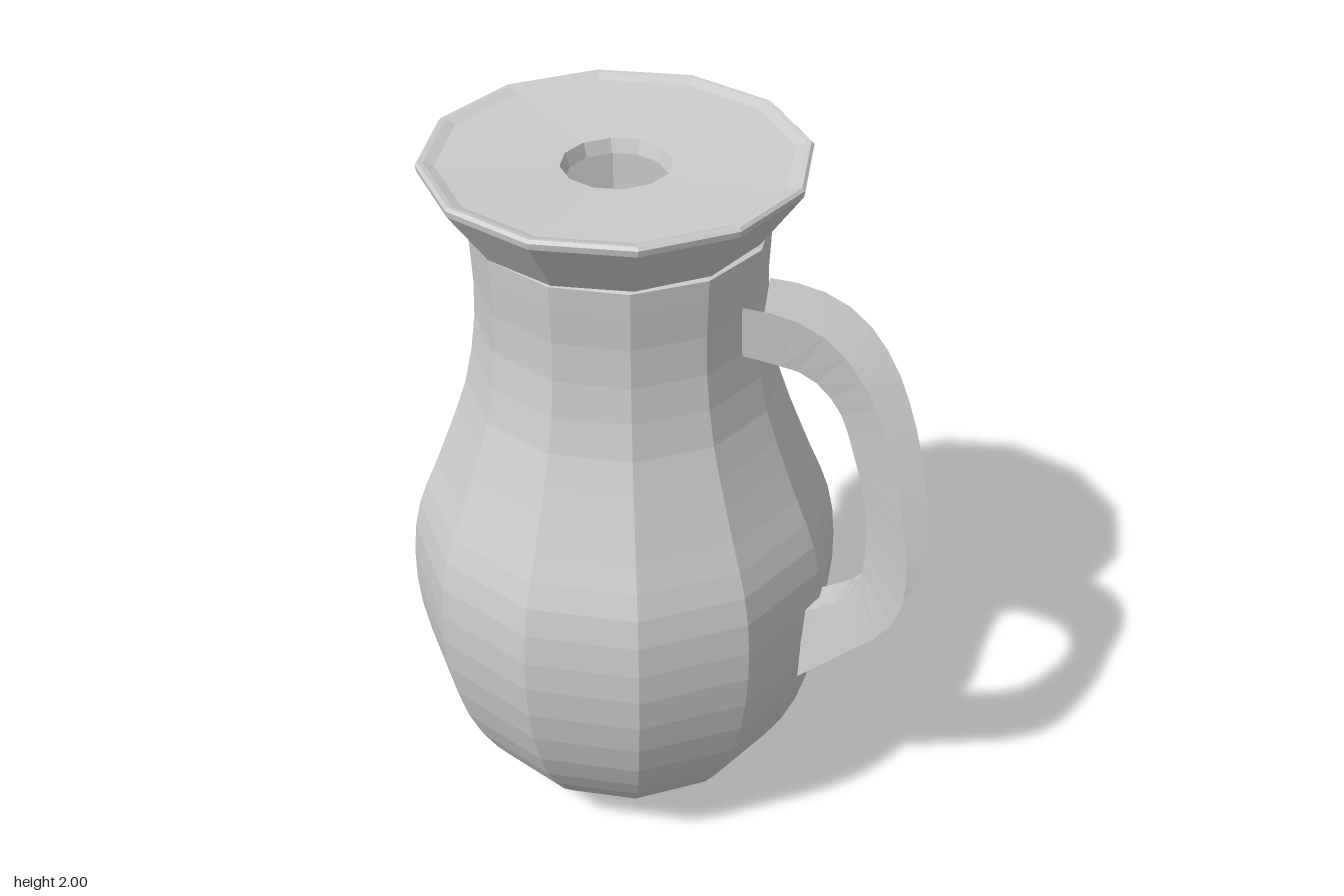
import * as THREE from 'three';

const grey = new THREE.MeshStandardMaterial({ color: 0xcccccc, flatShading: true, side: THREE.DoubleSide });
const white = new THREE.MeshStandardMaterial({ color: 0xffffff, side: THREE.DoubleSide });
const SIDES = 12;

// Twelve-sided turned part from [radius, height] pairs
function turned(name, profile, x, turn) {
  const points = profile.map(([r, y]) => new THREE.Vector2(r, y));
  const mesh = new THREE.Mesh(new THREE.LatheGeometry(points, SIDES), grey);
  mesh.name = name;
  mesh.position.x = x;
  mesh.rotation.y = turn;
  return mesh;
}

// Smooth run of points through [x, y] pairs
function run(pairs, count) {
  const curve = new THREE.CatmullRomCurve3(pairs.map(([x, y]) => new THREE.Vector3(x, y, 0)));
  return curve.getSpacedPoints(count);
}

// Open channel: a narrow inner strip with two side walls flaring outwards
function handleGeometry() {
  const n = 20;
  const inner = run([[0.235, 1.53], [0.33, 1.53], [0.42, 1.52], [0.505, 1.45], [0.56, 1.31], [0.6, 1.15],
    [0.605, 1.0], [0.59, 0.91], [0.535, 0.83], [0.44, 0.765]], n);
  const outer = run([[0.245, 1.69], [0.32, 1.695], [0.43, 1.68], [0.52, 1.63], [0.6, 1.53], [0.66, 1.39],
    [0.705, 1.21], [0.735, 0.99], [0.72, 0.87], [0.67, 0.78], [0.58, 0.69], [0.44, 0.55]], n);
  const positions = [], index = [];
  for (let i = 0; i <= n; i++) {
    const a = inner[i], b = outer[i];
    positions.push(b.x, b.y, 0.085, a.x, a.y, 0.058, a.x, a.y, -0.058, b.x, b.y, -0.085);
    if (i === n) break;
    for (let j = 0; j < 3; j++) {
      const p = i * 4 + j, q = p + 4;
      index.push(p, p + 1, q, p + 1, q + 1, q);
    }
  }
  const geometry = new THREE.BufferGeometry();
  geometry.setAttribute('position', new THREE.Float32BufferAttribute(positions, 3));
  geometry.setIndex(index);
  geometry.computeVertexNormals();
  return geometry;
}

export function createModel() {
  const jug = new THREE.Group();
  jug.name = 'jug';

  // Rounded belly narrowing into the neck
  jug.add(turned('body', [
    [0.1, 0], [0.19, 0.01], [0.255, 0.035], [0.31, 0.065], [0.36, 0.105], [0.41, 0.155], [0.455, 0.215],
    [0.5, 0.29], [0.54, 0.38], [0.57, 0.48], [0.59, 0.58], [0.6, 0.68], [0.6, 0.77], [0.592, 0.86],
    [0.575, 0.94], [0.55, 1.01], [0.52, 1.08], [0.485, 1.17], [0.455, 1.25], [0.425, 1.34],
    [0.404, 1.44], [0.391, 1.54], [0.388, 1.65], [0.393, 1.75], [0.396, 1.815], [0.38, 1.82],
  ], -0.14, 0.015));

  // Flared rim with a shallow funnel and a short throat
  jug.add(turned('rim', [
    [0.38, 1.815], [0.395, 1.82], [0.505, 1.975], [0.508, 1.992], [0.5, 2], [0.487, 1.998],
    [0.46, 1.988], [0.145, 1.968], [0.133, 1.93],
  ], -0.15, 0.06));

  // Pale disc closing the underside
  const base = new THREE.Mesh(new THREE.CircleGeometry(0.1, SIDES), white);
  base.name = 'baseDisc';
  base.rotation.x = Math.PI / 2;
  base.position.x = -0.14;
  jug.add(base);

  const handle = new THREE.Mesh(handleGeometry(), grey);
  handle.name = 'handle';
  handle.position.z = -0.004;
  jug.add(handle);

  return jug;
}
